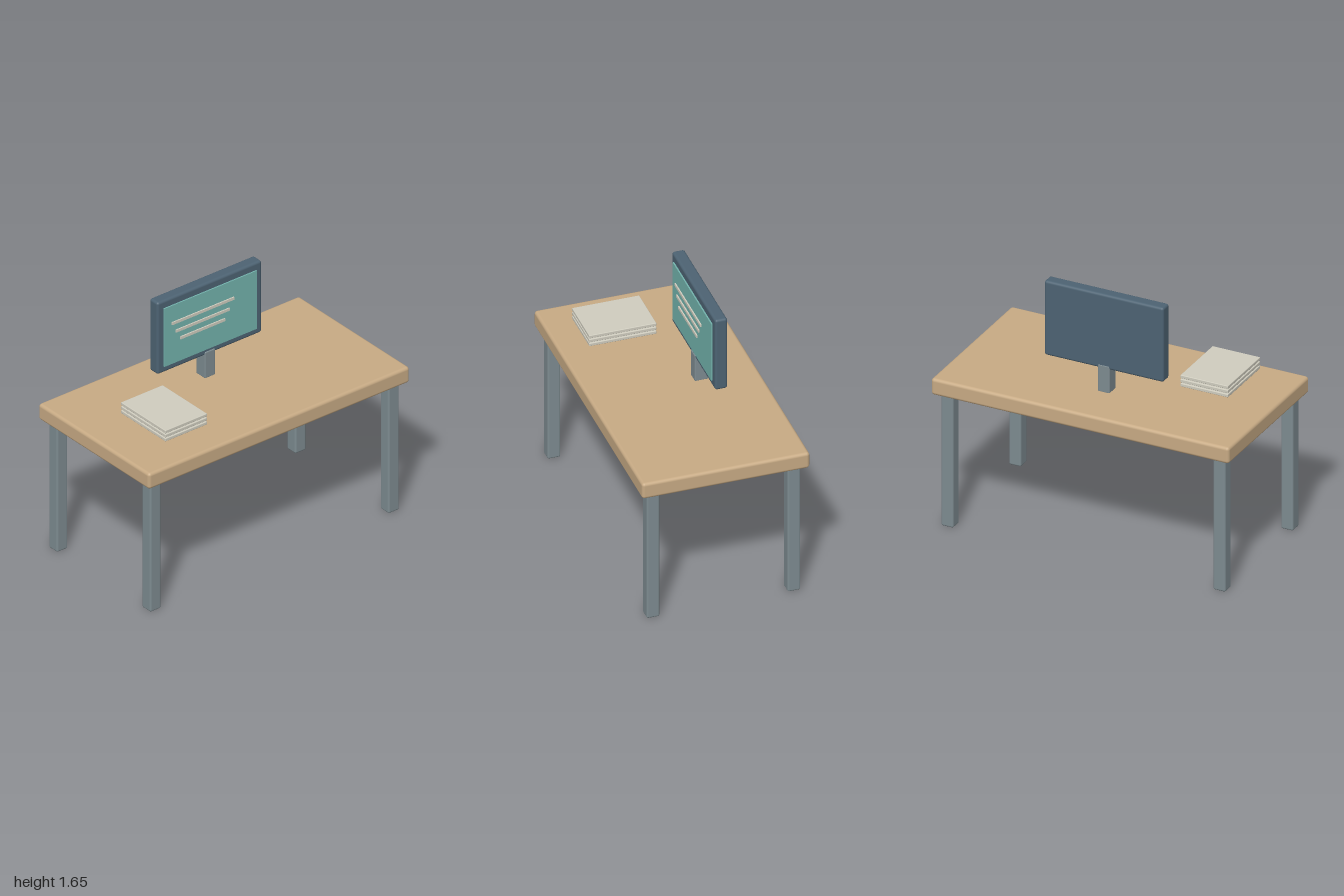
import * as THREE from 'three';
import { RoundedBoxGeometry } from 'three/addons/geometries/RoundedBoxGeometry.js';

function material(name, color) {
  const m = new THREE.MeshStandardMaterial({ color });
  m.name = name;
  return m;
}

export function createModel() {
  const wood = material('wood', 0xc7aa84);
  const metal = material('grey metal', 0x7d8b90);
  const casing = material('dark casing', 0x4d6373);
  const glass = material('teal screen', 0x73b3ad);
  const paper = material('paper', 0xd0cdbf);

  const model = new THREE.Group();
  model.name = 'computerDesk';

  // Box given by its [min, max] extents, with softened edges when radius > 0
  function box(name, mat, [x0, x1], [y0, y1], [z0, z1], radius = 0, parent = model) {
    const size = [x1 - x0, y1 - y0, z1 - z0];
    const geometry = radius
      ? new RoundedBoxGeometry(...size, 3, radius)
      : new THREE.BoxGeometry(...size);
    const mesh = new THREE.Mesh(geometry, mat);
    mesh.name = name;
    mesh.position.set((x0 + x1) / 2, (y0 + y1) / 2, (z0 + z1) / 2);
    parent.add(mesh);
    return mesh;
  }

  // Desk
  box('tableTop', wood, [-1, 1], [0.89, 1], [-0.53, 0.53], 0.02);
  for (const [side, x] of [['Left', 0.913], ['Right', -0.913]]) {
    for (const [end, z] of [['front', 0.445], ['back', -0.445]]) {
      box(`${end}${side}Leg`, metal, [x - 0.041, x + 0.041], [0, 0.89], [z - 0.041, z + 0.041], 0.012);
    }
  }

  // Monitor
  const monitor = new THREE.Group();
  monitor.name = 'monitor';
  model.add(monitor);
  box('monitorStand', metal, [-0.04, 0.04], [0.995, 1.18], [-0.217, -0.131], 0.008, monitor);
  box('monitorCase', casing, [-0.4, 0.4], [1.155, 1.655], [-0.215, -0.136], 0.016, monitor);
  box('screen', glass, [-0.355, 0.355], [1.2, 1.605], [-0.135, -0.126], 0, monitor);

  // Lines of content on the screen
  const lines = [[-0.3, 0.175, 1.483], [-0.27, 0.14, 1.42], [-0.235, 0.105, 1.36]];
  lines.forEach(([x0, x1, y], i) => {
    box(`screenLine${i + 1}`, paper, [x0, x1], [y - 0.009, y + 0.009], [-0.126, -0.118], 0, monitor);
  });

  // Stack of paper pads
  const stack = new THREE.Group();
  stack.name = 'paperStack';
  model.add(stack);
  for (let i = 0; i < 3; i++) {
    const y = 1.062 + i * 0.028;
    box(`paperPad${i + 1}`, paper, [-0.75, -0.43], [y, y + 0.021], [-0.05, 0.375], 0.004, stack);
  }

  return model;
}
